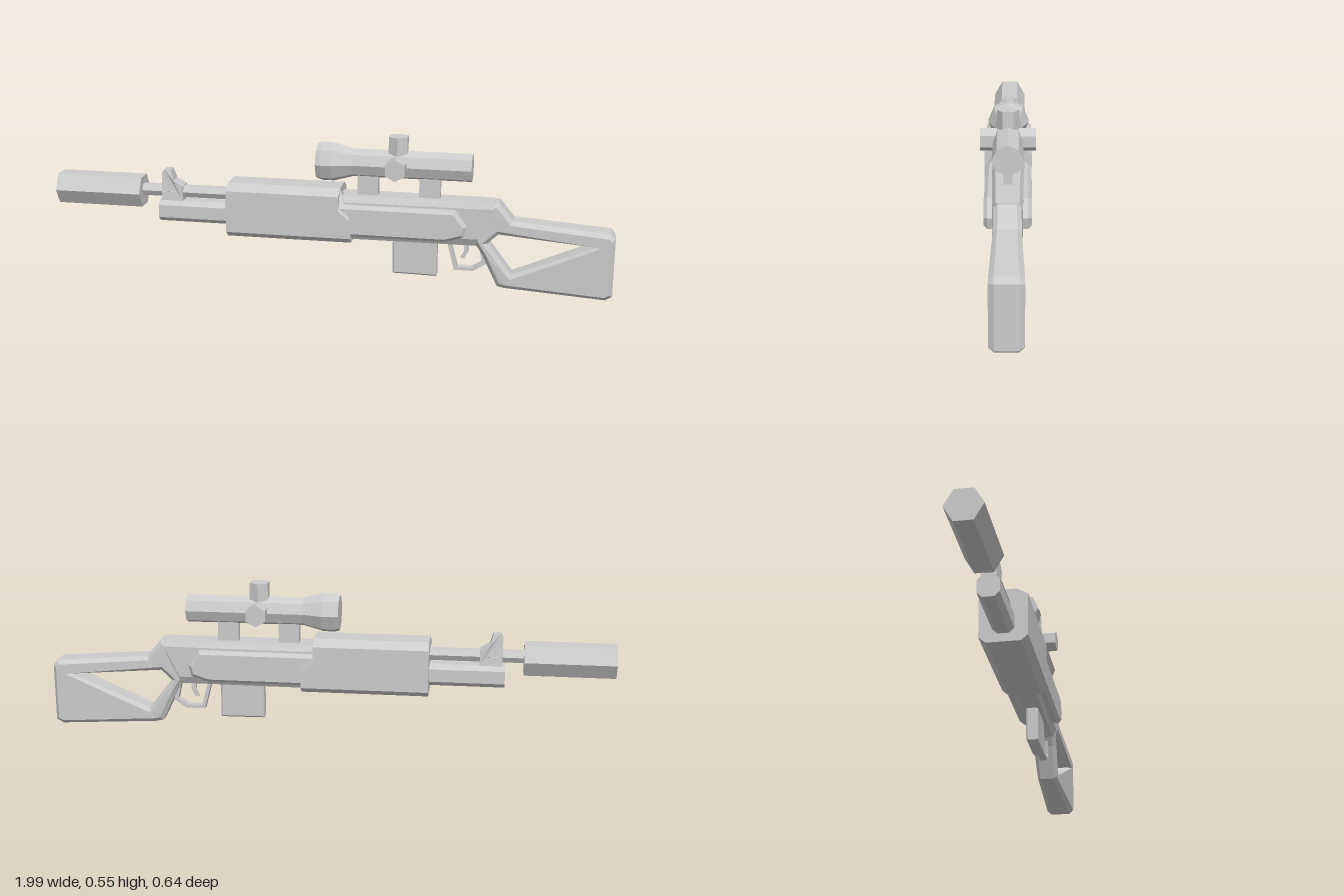
import * as THREE from 'three';

export function createModel() {
  const group = new THREE.Group();
  const body = new THREE.Group();
  body.name = 'body';
  body.rotation.y = THREE.MathUtils.degToRad(15); // long axis lies slightly diagonal
  group.add(body);
  const mat = new THREE.MeshStandardMaterial({ color: 0xcccccc, flatShading: true });

  const add = (name, geo) => {
    const mesh = new THREE.Mesh(geo, mat);
    mesh.name = name;
    body.add(mesh);
    return mesh;
  };
  const vecs = (pts) => pts.map(([x, y]) => new THREE.Vector2(x, y));

  // Move every vertex by a rule (the rule edits the vector)
  const warp = (geo, rule) => {
    const p = geo.attributes.position;
    const v = new THREE.Vector3();
    for (let i = 0; i < p.count; i++) {
      rule(v.fromBufferAttribute(p, i));
      p.setXYZ(i, v.x, v.y, v.z);
    }
    geo.computeVertexNormals();
    return geo;
  };

  // Faceted rod along x
  const rod = (name, sides, r0, r1, x0, x1, y) => {
    const g = new THREE.CylinderGeometry(r0, r1, x1 - x0, sides);
    g.rotateZ(Math.PI / 2).translate((x0 + x1) / 2, y, 0);
    return add(name, g);
  };

  // Side outline (x, y) given a thickness across z, with chamfered edges
  const plate = (pts, half, bevel, hole) => {
    const s = new THREE.Shape(vecs(pts));
    if (hole) s.holes.push(new THREE.Path(vecs(hole)));
    const depth = 2 * (half - bevel);
    return new THREE.ExtrudeGeometry(s, {
      depth, bevelEnabled: bevel > 0, bevelThickness: bevel,
      bevelSize: bevel, bevelOffset: -bevel, bevelSegments: 1,
    }).translate(0, 0, -depth / 2);
  };

  // Mirrored half cross-section (z, y), listed top to bottom, run along x
  const prism = (halfPts, x0, x1) => {
    const pts = [...halfPts, ...halfPts.map(([z, y]) => [-z, y]).reverse()];
    return new THREE.ExtrudeGeometry(new THREE.Shape(vecs(pts)), { depth: x1 - x0, bevelEnabled: false })
      .rotateY(Math.PI / 2).translate(x0, 0, 0);
  };

  // Muzzle, barrel and tube below it
  rod('suppressor', 6, 0.0635, 0.0635, -1.017, -0.695, 0.301);
  rod('barrel', 6, 0.024, 0.024, -0.72, -0.3, 0.307);
  add('lowerTube', prism([[0.02, 0.275], [0.038, 0.258], [0.038, 0.212], [0.02, 0.195]], -0.63, -0.3));

  // Front sight, narrowed toward its tip
  add('frontSight', warp(
    plate([[-0.62, 0.275], [-0.62, 0.375], [-0.61, 0.39], [-0.585, 0.39], [-0.575, 0.35],
      [-0.54, 0.33], [-0.54, 0.275]], 0.027, 0),
    (v) => { if (v.y > 0.36) v.z *= 0.6; }));

  // Handguard with a stepped rear end
  add('handguard', warp(
    prism([[0.045, 0.36], [0.085, 0.338], [0.085, 0.285], [0.085, 0.25], [0.085, 0.185], [0.06, 0.164]], -0.362, 0.093),
    (v) => { if (v.x > 0 && v.y > 0.27) v.x = 0.05; }));

  // Receiver, tapering and raked at the rear
  add('receiver', warp(
    prism([[0.045, 0.333], [0.058, 0.312], [0.058, 0.2], [0.04, 0.172]], 0, 0.56),
    (v) => {
      if (v.x > 0.5) {
        v.x = v.y > 0.3 ? 0.6 : 0.545;
        v.z *= 0.85;
      }
    }));
  add('sidePanels', plate([[0.04, 0.19], [0.43, 0.19], [0.495, 0.21], [0.505, 0.25],
    [0.465, 0.306], [0.04, 0.306]], 0.079, 0.012));

  // Magazine
  add('magazine', plate([[0.238, 0.045], [0.398, 0.043], [0.398, 0.2], [0.238, 0.2]], 0.022, 0.006));

  // Trigger and guard
  add('triggerGuard', plate([[0.432, 0.178], [0.46, 0.07], [0.53, 0.07], [0.575, 0.1], [0.56, 0.178]], 0.014, 0,
    [[0.447, 0.17], [0.471, 0.082], [0.526, 0.082], [0.56, 0.105], [0.545, 0.17]]));
  add('trigger', plate([[0.49, 0.18], [0.495, 0.14], [0.482, 0.115], [0.495, 0.112], [0.51, 0.14], [0.512, 0.18]], 0.007, 0));

  // Thumbhole stock, widening toward the butt
  add('stock', warp(
    plate([[0.5, 0.19], [0.535, 0.178], [0.56, 0.14], [0.615, 0.024], [0.64, 0.018], [0.995, 0], [1.02, 0.015],
      [1.02, 0.225], [1.005, 0.243], [0.665, 0.27], [0.615, 0.332], [0.5, 0.332]], 0.045, 0.014,
    [[0.578, 0.182], [0.615, 0.218], [0.955, 0.192], [0.665, 0.07]]),
    (v) => {
      v.z *= 1 + 0.22 * THREE.MathUtils.clamp((v.x - 0.62) / 0.4, 0, 1);
      if (v.y < 0.1 && v.x < 0.8) v.z *= 0.85;
    }));

  // Scope: front bell, taper, main tube
  const sy = 0.447;
  rod('scopeBell', 8, 0.066, 0.071, -0.038, -0.02, sy);
  rod('scopeBellBody', 8, 0.071, 0.071, -0.02, 0.02, sy);
  rod('scopeTaper', 8, 0.071, 0.051, 0.02, 0.09, sy);
  rod('scopeTube', 8, 0.051, 0.051, 0.09, 0.515, sy);

  // Adjustment knobs: one across, one on top
  add('sideKnobs', new THREE.CylinderGeometry(0.04, 0.04, 0.19, 6).rotateX(Math.PI / 2).translate(0.252, sy, 0));
  add('topKnob', new THREE.CylinderGeometry(0.038, 0.038, 0.1, 6).translate(0.252, 0.5, 0));

  // Scope mounts
  for (const x of [0.145, 0.367]) {
    add('scopeMount', new THREE.BoxGeometry(0.075, 0.11, 0.03).translate(x, 0.365, 0));
  }

  return group;
}
